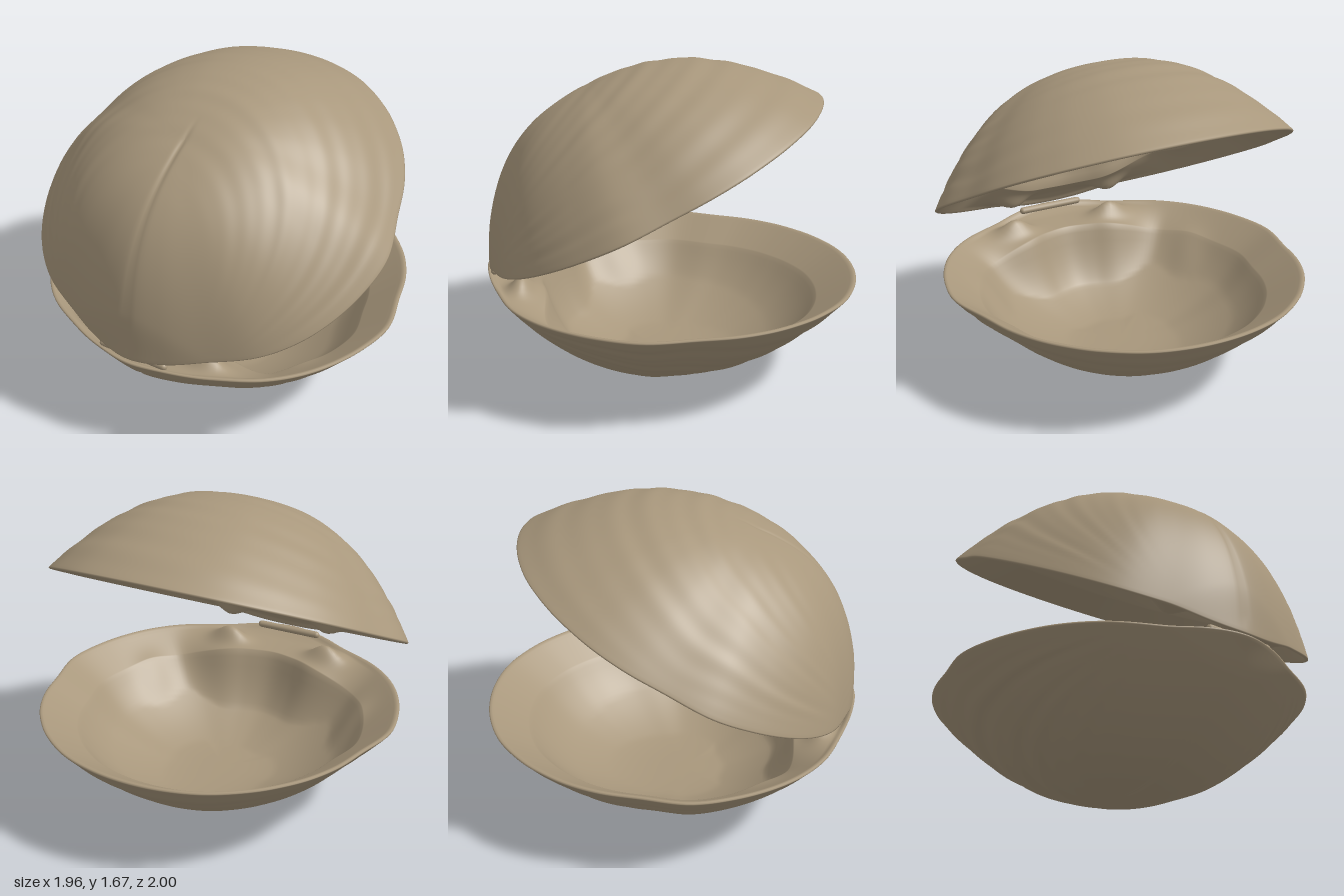
import * as THREE from 'three';

const shellMat = new THREE.MeshStandardMaterial({ color: 0xa8977c });
shellMat.name = 'shell tan';

const SEGS = 200, OUTER = 100, INNER = 56;
const CENTRE = 0.93; // distance from the hinge to the deepest point

// Half outline of the rim: [x, distance from the hinge]
const HALF = [[0.2, 0.04], [0.4, 0.125], [0.62, 0.24], [0.76, 0.37], [0.86, 0.52], [0.94, 0.72], [0.977, 0.95],
  [0.92, 1.2], [0.87, 1.39], [0.79, 1.555], [0.7, 1.675], [0.59, 1.785], [0.4, 1.91], [0.2, 1.975]];

function rimOutline() {
  const toV = ([x, a]) => new THREE.Vector3(x, 0, -a);
  const mirrored = HALF.map(([x, a]) => [-x, a]).reverse();
  const pts = [[0, 0], ...HALF, [0, 1.995], ...mirrored].map(toV);
  return new THREE.CatmullRomCurve3(pts, true).getSpacedPoints(SEGS).slice(0, SEGS);
}

const { smoothstep: smooth, lerp } = THREE.MathUtils;

// Growth rings, all spreading from the hinge, and a fine groove down the middle
function growthRelief(x, a, r) {
  const s = (x * x + a * a) / (2 * Math.max(a, 0.08));
  const rings = Math.sin(58 * s) + 0.8 * Math.sin(97 * s + 1 + 2 * x) + 0.4 * Math.sin(31 * s - 3 * x);
  const fade = smooth(a, 0.15, 0.55) * (1 - smooth(r, 0.93, 1)) * smooth(s, 0.25, 0.8) * (1 - smooth(s, 1, 1.2));
  const groove = Math.exp(-((x / 0.015) ** 2)) * (1 - smooth(a, 0.85, 1.1)) * (1 - smooth(r, 0.95, 1));
  return 0.0022 * rings * fade + 0.007 * groove;
}

// Rounded bump of the inner surface, alike on both sides
function bump(x, a, bx, ba, wx, wa) {
  return Math.exp(-(((Math.abs(x) - bx) / wx) ** 2) - ((a - ba) / wa) ** 2);
}

// One valve, cupped downwards with its rim on y = 0; flip = -1 cups it upwards
function valveGeometry({ depth, hingePower, sidePower, backPower, tooth, flip }) {
  const rim = rimOutline();
  const pos = [], idx = [];

  const outerY = (r, t) => {
    const end = t > 0 ? hingePower : backPower;
    return -depth * (1 - r ** lerp(sidePower, end, t * t));
  };

  const addRow = (ringAt) => {
    for (const q of rim) {
      const dz = q.z + CENTRE;
      const t = dz / Math.hypot(q.x, dz); // 1 towards the hinge, -1 towards the free edge
      const [r, y] = ringAt(t, q, dz);
      const beak = 0.022 * (1 - smooth(CENTRE - dz * r, 0, 0.13)); // the hinge reaches to the other valve
      pos.push(q.x * r, (y + beak) * flip, dz * r - CENTRE);
    }
  };

  // Outside, from the deepest point to the rim
  for (let i = 0; i <= OUTER; i++) {
    const r = i / OUTER;
    addRow((t, q, dz) => [r, outerY(r, t) + growthRelief(q.x * r, CENTRE - dz * r, r)]);
  }
  // Rounded lip
  for (const [r, y] of [[1.002, 0.006], [0.996, 0.011], [0.984, 0.011], [0.972, 0.003]]) addRow(() => [r, y]);

  // Inside: sloping margin with the hinge plate, then the hollow
  for (let i = 0; i <= INNER; i++) {
    const k = i / INNER;
    addRow((t, q, dz) => {
      const atHinge = smooth(t, 0.65, 0.95);
      const edge = lerp(0.8, 0.69, atHinge);
      const edgeY = lerp(-0.115, -0.03, atHinge);
      let r, y;
      if (k < 0.4) {
        r = lerp(0.96, edge, k / 0.4);
        y = lerp(-0.005, edgeY, k / 0.4);
      } else {
        r = edge * (1 - (k - 0.4) / 0.6);
        y = edgeY - (depth - 0.055 + edgeY) * (1 - (r / edge) ** lerp(3.2, 5, atHinge));
      }
      const x = q.x * r, a = CENTRE - dz * r;
      y += tooth * bump(x, a, 0.31, 0.24, 0.1, 0.06); // hinge teeth
      y += 0.03 * bump(x, a, 0.62, 0.62, 0.1, 0.12);  // muscle scars
      return [r, Math.max(y, outerY(r, t) + 0.03)];
    });
  }

  const rows = pos.length / 3 / SEGS;
  for (let i = 0; i < rows - 1; i++) {
    for (let j = 0; j < SEGS; j++) {
      const n = (j + 1) % SEGS;
      const a = i * SEGS + j, b = a + SEGS, c = i * SEGS + n, d = c + SEGS;
      if (flip > 0) idx.push(a, c, b, b, c, d);
      else idx.push(a, b, c, b, d, c);
    }
  }
  const g = new THREE.BufferGeometry();
  g.setAttribute('position', new THREE.Float32BufferAttribute(pos, 3));
  g.setIndex(idx);
  g.computeVertexNormals();
  return g;
}

function mesh(geometry, name) {
  const m = new THREE.Mesh(geometry, shellMat);
  m.name = name;
  return m;
}

export function createModel() {
  const model = new THREE.Group();
  model.name = 'openClam';

  const lower = mesh(valveGeometry({
    depth: 0.52, hingePower: 2.05, sidePower: 2.15, backPower: 2.3, tooth: 0.08, flip: 1,
  }), 'lowerValve');
  lower.position.set(0, 0.52, 0.995);

  const upper = mesh(valveGeometry({
    depth: 0.59, hingePower: 2.75, sidePower: 2.45, backPower: 2.35, tooth: 0.06, flip: -1,
  }), 'upperValve');
  upper.position.set(0, 0.59, 0.995);
  upper.rotation.x = 0.465;

  // Ligament joining the valves
  const ligament = mesh(new THREE.CapsuleGeometry(0.02, 0.36, 6, 12), 'ligament');
  ligament.rotation.z = Math.PI / 2;
  ligament.position.set(0, 0.555, 0.93);

  model.add(lower, upper, ligament);
  return model;
}
